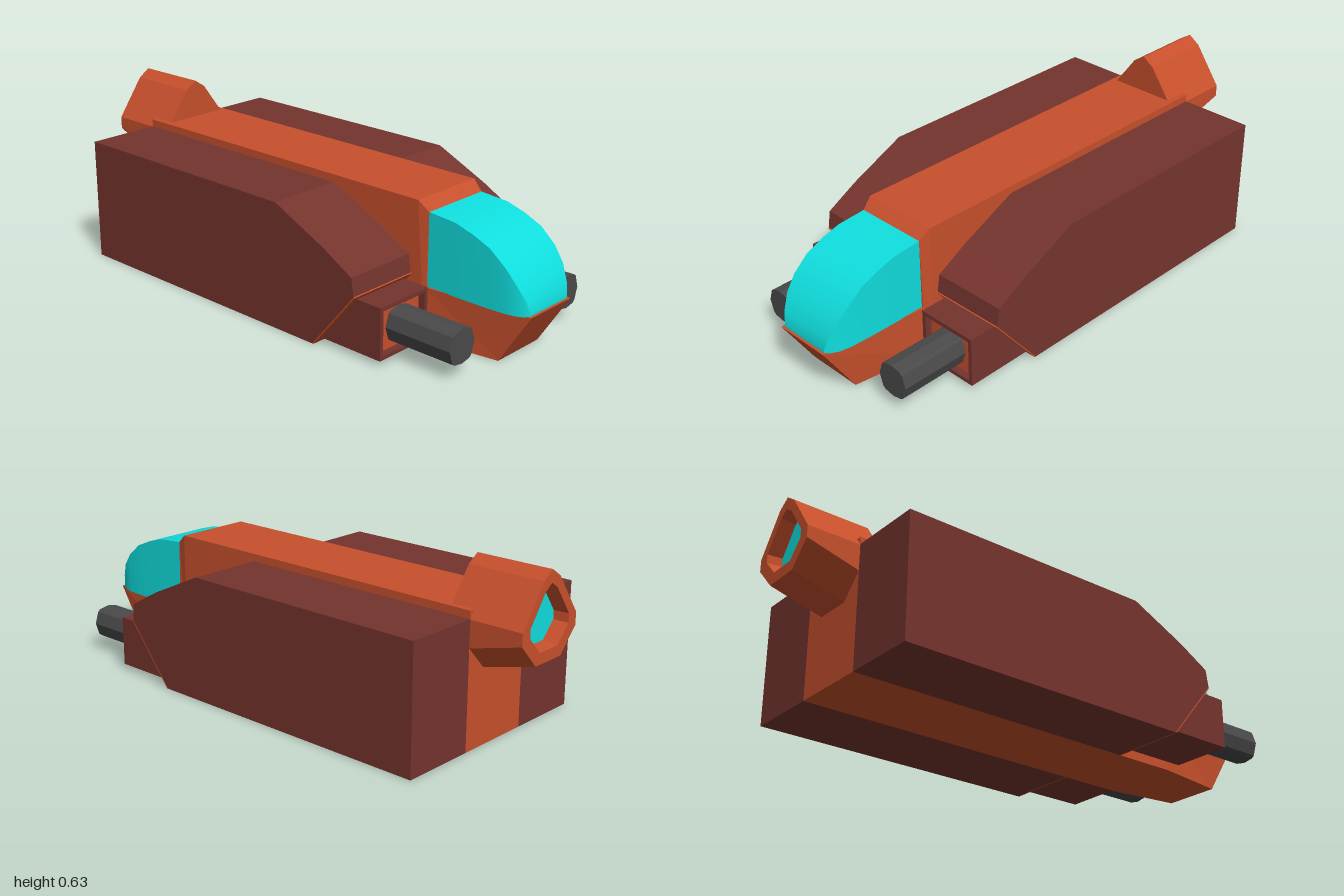
import * as THREE from 'three';
import { toCreasedNormals } from 'three/addons/utils/BufferGeometryUtils.js';

const mat = (name, color) => {
  const m = new THREE.MeshStandardMaterial({ color });
  m.name = name;
  return m;
};

// Closed skin through convex rings (counterclockwise seen from +z, listed back to front)
function loft(rings) {
  const pos = [];
  const tri = (...p) => p.forEach((v) => pos.push(...v));
  const n = rings[0].length;
  for (let i = 0; i < rings.length - 1; i++) {
    for (let j = 0; j < n; j++) {
      const k = (j + 1) % n;
      const [a, b, c, d] = [rings[i][j], rings[i][k], rings[i + 1][k], rings[i + 1][j]];
      tri(a, b, c);
      tri(a, c, d);
    }
  }
  const first = rings[0], last = rings[rings.length - 1];
  for (let j = 1; j < n - 1; j++) {
    tri(first[0], first[j + 1], first[j]);
    tri(last[0], last[j], last[j + 1]);
  }
  const g = new THREE.BufferGeometry();
  g.setAttribute('position', new THREE.Float32BufferAttribute(pos, 3));
  g.computeVertexNormals();
  return g;
}

// Four-cornered ring with its own z for the bottom and top edges
const quad = (wBottom, wTop, yBottom, yTop, zBottom, zTop = zBottom) => [
  [-wBottom, yBottom, zBottom], [wBottom, yBottom, zBottom],
  [wTop, yTop, zTop], [-wTop, yTop, zTop],
];

// Side profile of (z, y) points extruded from x0 to x1
function sidePrism(points, x0, x1) {
  const shape = new THREE.Shape(points.map(([z, y]) => new THREE.Vector2(z, y)));
  const g = new THREE.ExtrudeGeometry(shape, { depth: x1 - x0, bevelEnabled: false });
  return g.rotateY(-Math.PI / 2).translate(x1, 0, 0);
}

const rect = (Type, x0, x1, y0, y1) => new Type([
  new THREE.Vector2(x0, y0), new THREE.Vector2(x1, y0),
  new THREE.Vector2(x1, y1), new THREE.Vector2(x0, y1),
]);

export function createModel() {
  const model = new THREE.Group();
  model.name = 'spacecraft';
  const orange = mat('orange hull', 0xc8502c);
  const maroon = mat('maroon armour', 0x75342e);
  const cyan = mat('cyan glass', 0x10dede);
  const grey = mat('dark grey metal', 0x4a4a4a);
  const add = (name, geometry, material, parent = model) => {
    const m = new THREE.Mesh(geometry, material);
    m.name = name;
    parent.add(m);
    return m;
  };

  // Central hull and tapered nose
  add('hull', loft([
    quad(0.15, 0.15, 0, 0.49, -0.8),
    quad(0.15, 0.15, 0, 0.49, 0.56),
    quad(0.15, 0.14, 0, 0.455, 0.6),
  ]), orange);
  add('nose', loft([
    quad(0.15, 0.15, 0, 0.19, 0.6),
    quad(0.11, 0.11, 0, 0.19, 0.88, 1),
  ]), orange);

  // Canopy: smooth over the top, flat at the sides
  const canopyProfile = [
    [0.6, 0.455, 0.14], [0.71, 0.446, 0.141], [0.78, 0.425, 0.141], [0.85, 0.395, 0.14],
    [0.91, 0.345, 0.137], [0.95, 0.295, 0.129], [0.98, 0.24, 0.113], [0.99, 0.2, 0.102],
  ];
  add('canopy', toCreasedNormals(
    loft(canopyProfile.map(([z, y, w]) => quad(w, w, 0.188, y, z))), 0.5), cyan);

  // Rear exhaust: outer shell, rim and recess in one skin
  const exhaustRing = (z, s, drop) => {
    const half = [[0.07, 0.33 - drop], [0.15, 0.415 - drop], [0.15, 0.46], [0.045, 0.605]];
    const ring = [...half, [0, 0.635], ...half.slice().reverse().map(([x, y]) => [-x, y])];
    return ring.map(([x, y]) => [x * s, 0.475 + (y - 0.475) * s, z]);
  };
  add('exhaust', loft([
    exhaustRing(-0.94, 0.68, 0),
    exhaustRing(-1, 0.72, 0),
    exhaustRing(-1, 1, 0),
    exhaustRing(-0.71, 1, 0.075),
  ]), orange);
  add('exhaustGlow', loft([exhaustRing(-0.946, 0.68, 0), exhaustRing(-0.939, 0.68, 0)]), cyan);

  for (const side of [-1, 1]) {
    const label = side > 0 ? 'left' : 'right';
    const range = (a, b) => (side > 0 ? [a, b] : [-b, -a]);

    // Side pod with an orange undercut at the front
    add(label + 'Pod', sidePrism([
      [-0.8, 0], [0.35, 0], [0.535, 0.225], [0.525, 0.29], [0.4, 0.36], [0.18, 0.462], [-0.8, 0.462],
    ], ...range(0.15, 0.435)), maroon);
    add(label + 'PodUndercut', sidePrism([
      [0.35, 0], [0.355, 0], [0.539, 0.223], [0.535, 0.225],
    ], ...range(0.15, 0.435)), orange);

    // Gun housing, open at the front
    const gun = new THREE.Group();
    gun.name = label + 'Gun';
    gun.position.x = side * 0.2925;
    model.add(gun);
    const frame = rect(THREE.Shape, -0.1175, 0.1175, 0.02, 0.208);
    frame.holes.push(rect(THREE.Path, -0.103, 0.103, 0.034, 0.193));
    add('gunHousing', new THREE.ExtrudeGeometry(frame, { depth: 0.29, bevelEnabled: false })
      .translate(0, 0, 0.34), maroon, gun);
    add('gunBackplate', new THREE.BoxGeometry(0.206, 0.159, 0.008)
      .translate(0, 0.1135, 0.6), orange, gun);

    // Barrel with flattened corners
    const quarter = [[0.063, 0], [0.048, 0.046], [0.038, 0.054], [0, 0.061]];
    const outline = [];
    for (let q = 0; q < 4; q++) {
      const sx = q === 0 || q === 3 ? 1 : -1, sy = q < 2 ? 1 : -1;
      const pts = q % 2 ? quarter.slice().reverse() : quarter;
      pts.slice(0, 3).forEach(([x, y]) => outline.push([sx * x, 0.114 + sy * y]));
    }
    const barrelRing = (z) => outline.map(([x, y]) => [x, y, z]);
    add('gunBarrel', loft([barrelRing(0.59), barrelRing(0.87)]), grey, gun);
  }
  return model;
}
